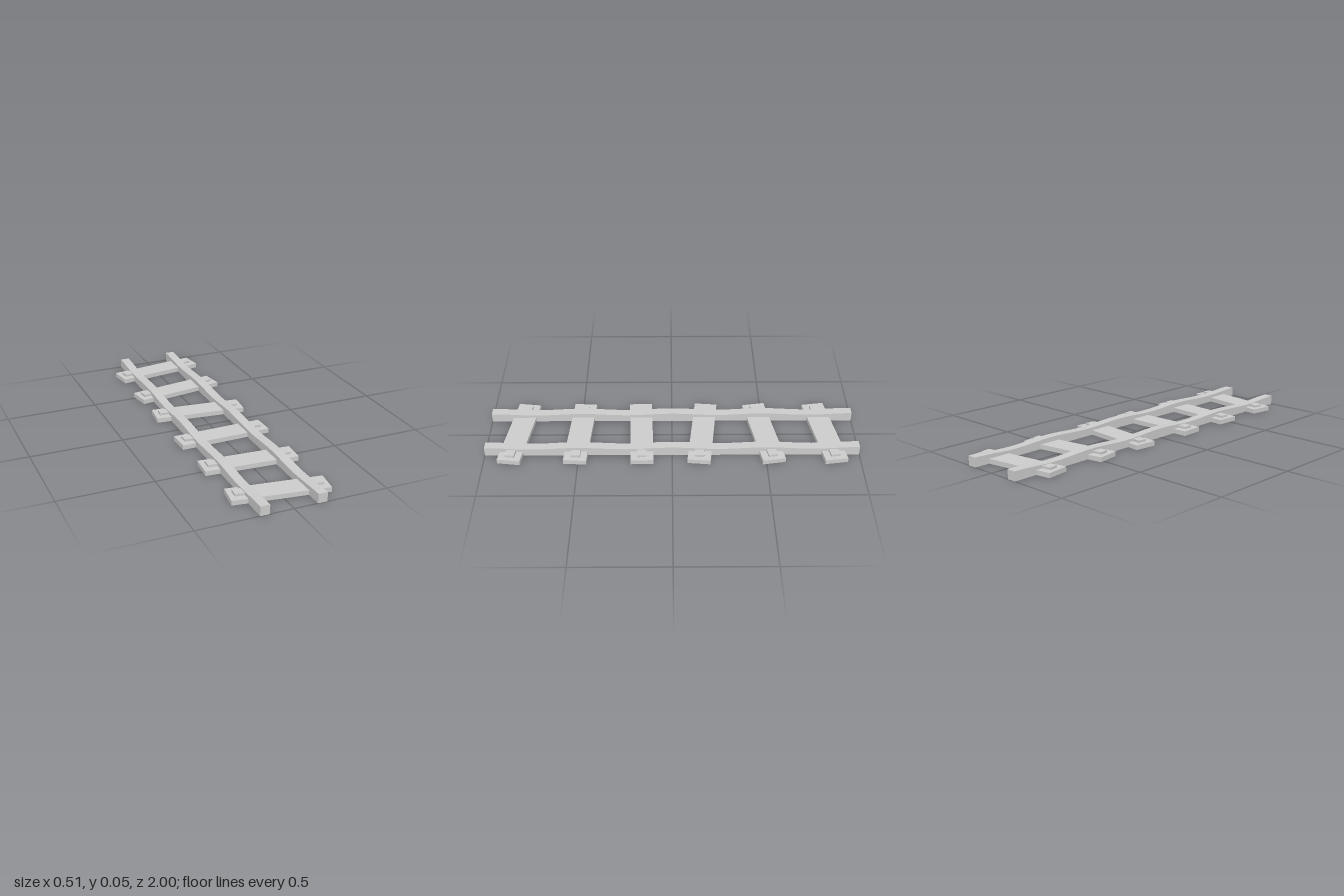
import * as THREE from 'three';

const material = new THREE.MeshStandardMaterial({ color: 0xcccccc });

function box(name, w, h, d, x, y) {
  const mesh = new THREE.Mesh(new THREE.BoxGeometry(w, h, d), material);
  mesh.name = name;
  mesh.position.set(x, y, 0);
  return mesh;
}

// Square rail with a flat underside and a gently undulating top
function makeRail() {
  const geo = new THREE.BoxGeometry(0.05, 0.05, 2, 1, 1, 64);
  geo.translate(0, 0.025, 0);
  const pos = geo.attributes.position;
  for (let i = 0; i < pos.count; i++) {
    if (pos.getY(i) > 0.025) {
      pos.setY(i, 0.045 + 0.005 * Math.cos(4 * Math.PI * pos.getZ(i)));
    }
  }
  geo.computeVertexNormals();
  return new THREE.Mesh(geo, material);
}

// Plank with a small fixing plate outside each rail
function makeSleeper() {
  const sleeper = new THREE.Group();
  sleeper.name = 'sleeper';
  sleeper.add(box('plank', 0.5, 0.025, 0.123, 0, 0.0125));
  for (const side of [-1, 1]) {
    sleeper.add(box(side > 0 ? 'leftPlate' : 'rightPlate', 0.08, 0.0125, 0.05, side * 0.1837, 0.03125));
  }
  return sleeper;
}

export function createModel() {
  const track = new THREE.Group();
  track.name = 'track';

  for (const side of [-1, 1]) {
    const rail = makeRail();
    rail.name = side > 0 ? 'leftRail' : 'rightRail';
    rail.position.x = side * 0.15;
    track.add(rail);
  }

  // Evenly spaced sleepers, each slightly askew (degrees)
  [8.7, 9.3, -5.8, 1.7, -3.6, -7.5].forEach((angle, i) => {
    const sleeper = makeSleeper();
    sleeper.position.z = (i - 2.5) / 3;
    sleeper.rotation.y = THREE.MathUtils.degToRad(angle);
    track.add(sleeper);
  });

  return track;
}
